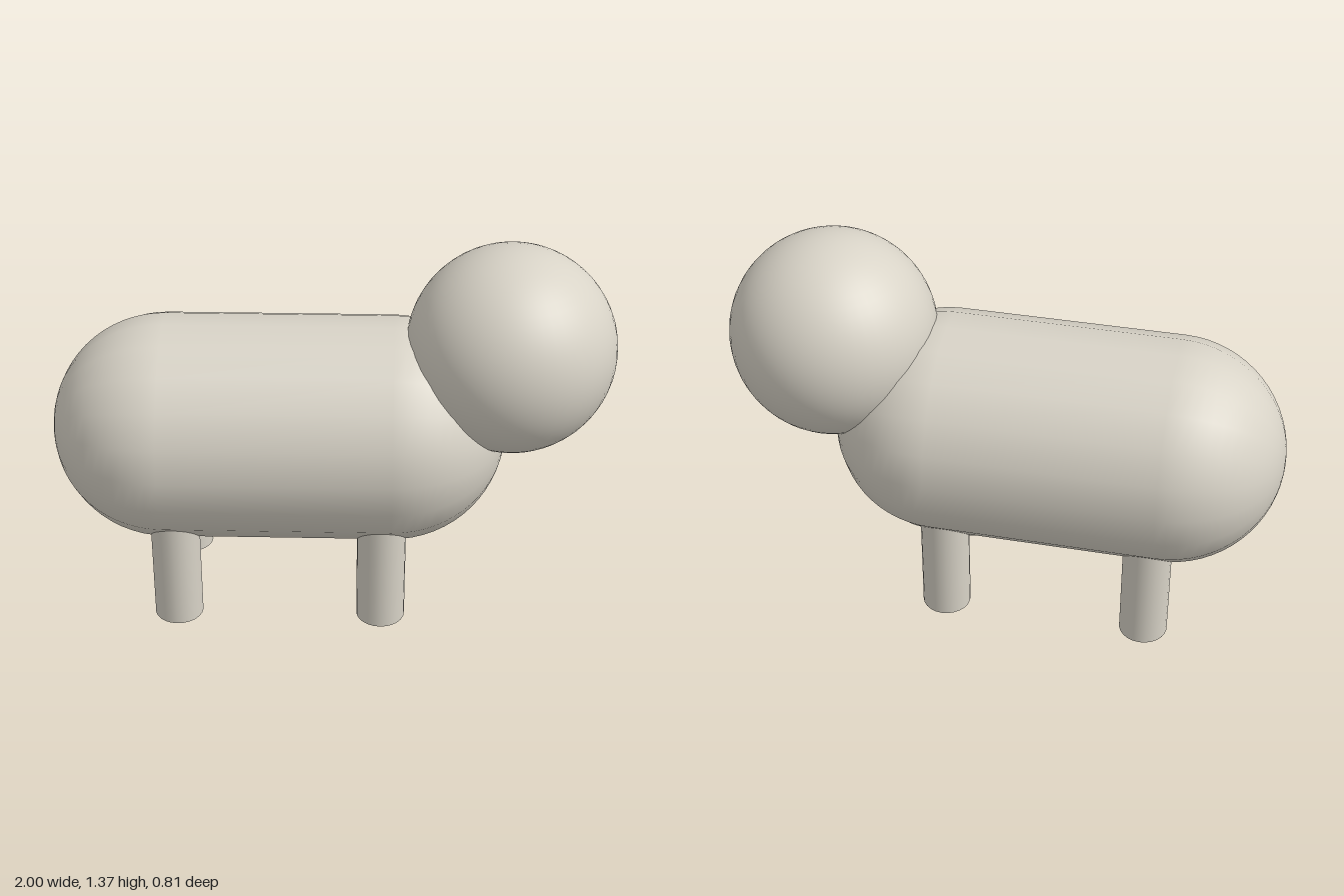
import * as THREE from 'three';

export function createModel() {
  const model = new THREE.Group();
  const wool = new THREE.MeshStandardMaterial({ color: 0xd8d3c7 });
  wool.name = 'warm off-white';

  const add = (name, geometry, x, y, z) => {
    const mesh = new THREE.Mesh(geometry, wool);
    mesh.name = name;
    mesh.position.set(x, y, z);
    model.add(mesh);
    return mesh;
  };

  // Capsule body lying along x
  const body = add('body', new THREE.CapsuleGeometry(0.406, 0.813, 16, 20), -0.188, 0.67, 0);
  body.rotation.z = Math.PI / 2;

  // Round head overlapping the front end of the body
  add('head', new THREE.SphereGeometry(0.37, 48, 32), 0.63, 1.003, 0);

  // Four straight legs, sunk into the body
  const legHeight = 0.55;
  const legGeometry = new THREE.CylinderGeometry(0.088, 0.088, legHeight, 24);
  for (const [end, x] of [['front', 0.185], ['rear', -0.557]]) {
    for (const [side, z] of [['Right', 0.223], ['Left', -0.223]]) {
      add(`${end}${side}Leg`, legGeometry, x, legHeight / 2, z);
    }
  }

  return model;
}
